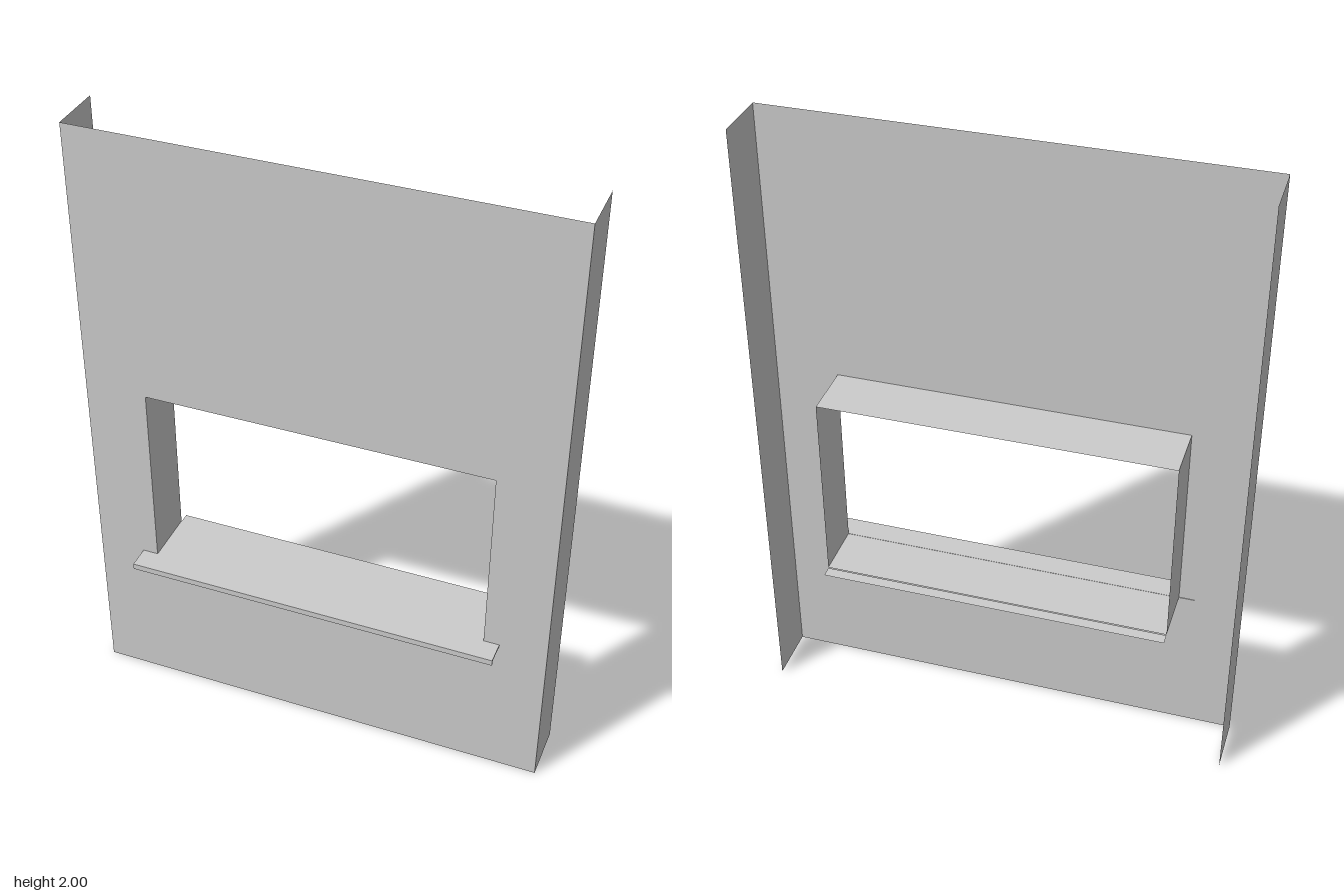
import * as THREE from 'three';

const FRONT = 0.07, BACK = -0.11;        // depth of the panel and its returns
const W = 0.75, H = 2;                   // panel half width and height
const OW = 0.55, O0 = 0.508, O1 = 1.13;  // opening half width, bottom and top

const grey = new THREE.MeshStandardMaterial({ color: 0xcccccc, side: THREE.DoubleSide, flatShading: true });

export function createModel() {
  const model = new THREE.Group();
  const add = (name, geometry, x, y, z) => {
    const mesh = new THREE.Mesh(geometry, grey);
    mesh.name = name;
    mesh.position.set(x, y, z);
    model.add(mesh);
  };
  const midZ = (FRONT + BACK) / 2, depth = FRONT - BACK;
  // thin sheets: facing sideways and facing up
  const upright = (h, outward) => new THREE.PlaneGeometry(depth, h).rotateY(outward * Math.PI / 2);
  const level = (w, d) => new THREE.PlaneGeometry(w, d).rotateX(-Math.PI / 2);

  // wall sheet with the window opening
  const wall = new THREE.Shape([[-W, 0], [W, 0], [W, H], [-W, H]].map(p => new THREE.Vector2(...p)));
  wall.holes.push(new THREE.Path([[-OW, O0], [-OW, O1], [OW, O1], [OW, O0]].map(p => new THREE.Vector2(...p))));
  add('wallFront', new THREE.ShapeGeometry(wall), 0, 0, FRONT);

  // side returns of the wall and jambs of the opening
  for (const [side, s] of [['left', 1], ['right', -1]]) {
    add(side + 'WallReturn', upright(H, s), s * W, H / 2, midZ);
    add(side + 'Jamb', upright(O1 - O0, s), s * OW, (O0 + O1) / 2, midZ);
  }
  add('openingHead', level(2 * OW, depth), 0, O1, midZ);

  // sill: flat through the opening, inner ledge, outer ledge with a drip lip
  add('sillPlate', level(2 * OW, depth), 0, O0, midZ);
  add('innerLedge', level(2 * OW, 0.036), 0, 0.505, BACK - 0.018);
  add('outerLedge', new THREE.BoxGeometry(1.2, 0.006, 0.076), 0, 0.506, 0.106);
  add('dripLip', new THREE.BoxGeometry(1.2, 0.014, 0.006), 0, 0.496, 0.141);
  return model;
}
